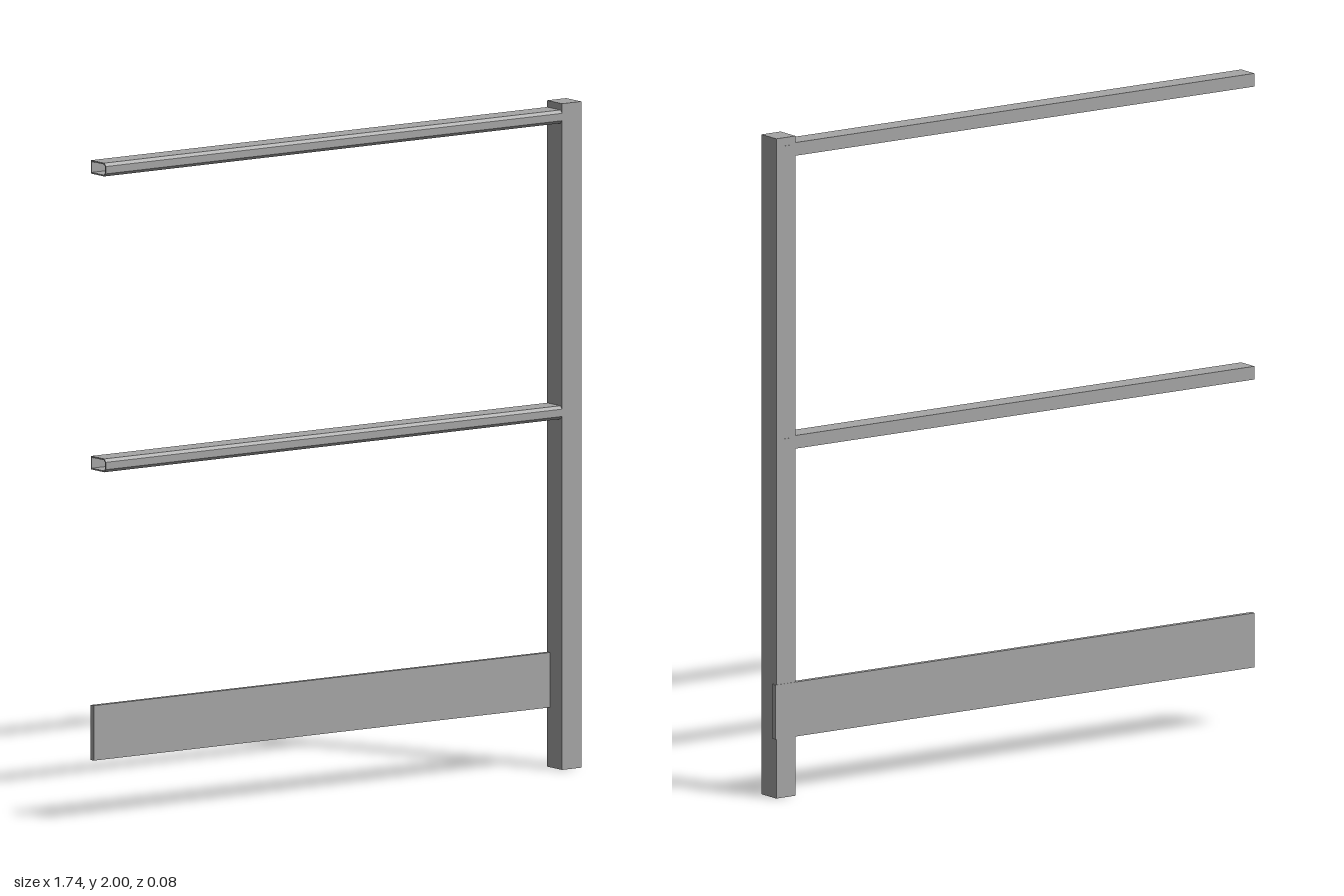
import * as THREE from 'three';

const X0 = -0.872, X1 = 0.872;   // overall length
const POST0 = 0.798, POST1 = 0.868;
const HZ = 0.038;                // half depth

// Closed outline with a matching hole, extruded into a hollow tube
function tube(outer, inner, length) {
  const shape = new THREE.Shape(outer.map(([x, y]) => new THREE.Vector2(x, y)));
  shape.holes.push(new THREE.Path(inner.map(([x, y]) => new THREE.Vector2(x, y))));
  return new THREE.ExtrudeGeometry(shape, { depth: length, bevelEnabled: false });
}

const rect = (w, h) => [[-w, -h], [w, -h], [w, h], [-w, h]];

// Rail section: square at the back, chamfered along the front edges
const railSection = (w, h, c) => [
  [-w + c, -h], [w, -h], [w, h], [-w + c, h], [-w, h - c], [-w, -h + c],
];

export function createModel() {
  const group = new THREE.Group();
  const steel = new THREE.MeshStandardMaterial({ color: 0xa6a6a6 });
  steel.name = 'grey steel';

  const add = (name, geometry, x, y, z) => {
    const mesh = new THREE.Mesh(geometry, steel);
    mesh.name = name;
    mesh.position.set(x, y, z);
    group.add(mesh);
    return mesh;
  };

  // Hollow upright, open at the foot
  const hw = (POST1 - POST0) / 2, postX = (POST0 + POST1) / 2;
  const post = tube(rect(hw, HZ), rect(hw - 0.005, HZ - 0.005), 1.985);
  post.rotateX(-Math.PI / 2);
  add('post', post, postX, 0, 0);
  add('postCap', new THREE.BoxGeometry(hw * 2, 0.015, HZ * 2), postX, 1.9925, 0);

  // Top and middle rails, each with a small square fixing on the back of the post
  const rail = tube(railSection(HZ, 0.02, 0.009), railSection(HZ - 0.004, 0.016, 0.007), POST0 - X0);
  rail.rotateY(Math.PI / 2);
  [['topRail', 1.96], ['middleRail', 1.072]].forEach(([name, y]) => {
    add(name, rail, X0, y, 0);
    add(name + 'Fixing', new THREE.BoxGeometry(0.03, 0.03, 0.002), postX - 0.004, y, -HZ - 0.0005);
  });

  // Flat toe board along the back face
  add('toeBoard', new THREE.BoxGeometry(X1 - X0, 0.165, 0.016), 0, 0.262, -HZ + 0.007);

  return group;
}
